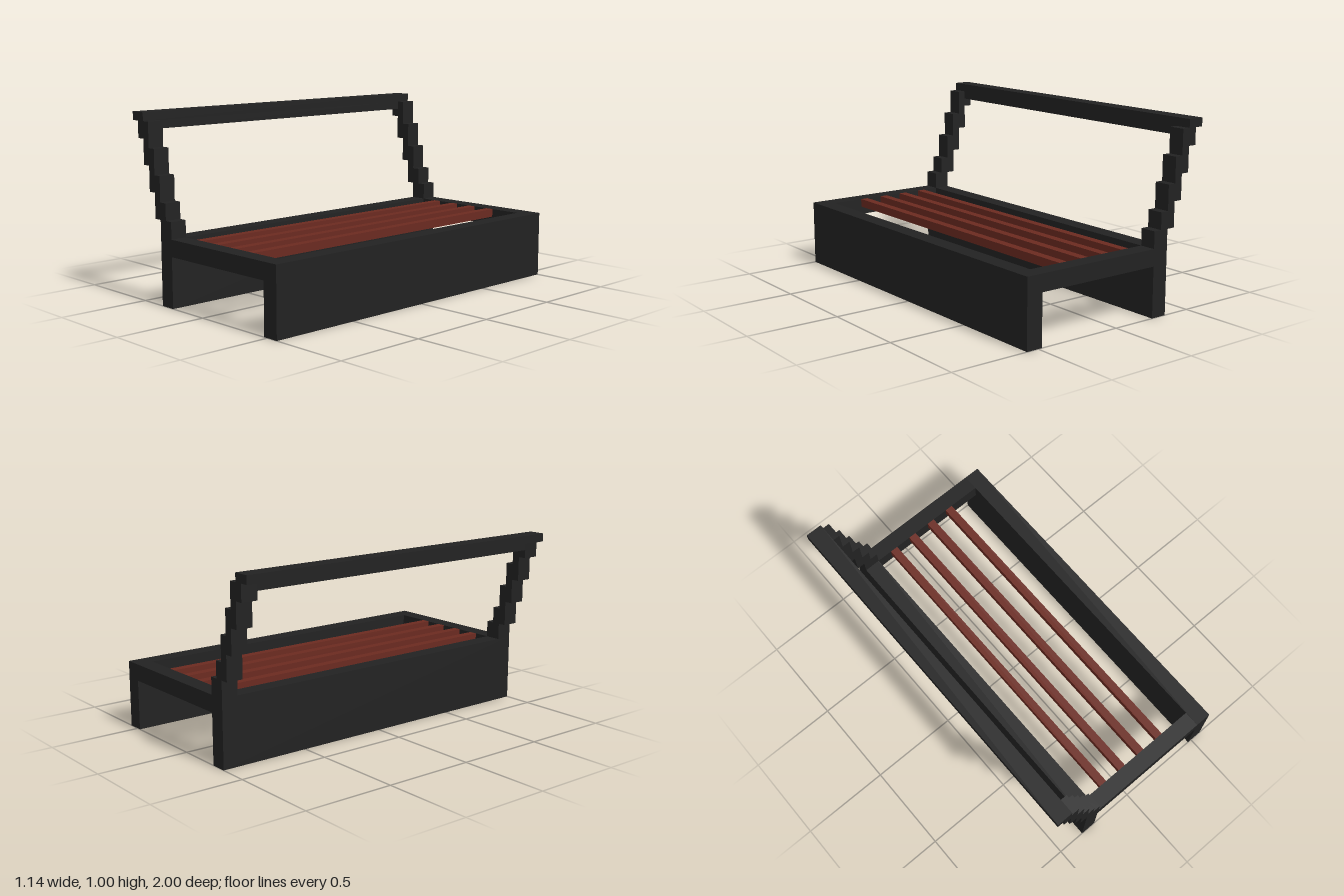
import * as THREE from 'three';

// The bench is built on a grid of small cubes: 25 wide, 22 high, 44 long.
const U = 1 / 22;

export function createModel() {
  const group = new THREE.Group();
  const dark = new THREE.MeshStandardMaterial({ color: 0x222222 });
  dark.name = 'charcoal frame';
  const red = new THREE.MeshStandardMaterial({ color: 0x6b2a20 });
  red.name = 'red brown slat';

  // Box between grid positions
  function block(name, material, x0, x1, y0, y1, z0, z1, parent = group) {
    const mesh = new THREE.Mesh(
      new THREE.BoxGeometry((x1 - x0) * U, (y1 - y0) * U, (z1 - z0) * U), material);
    mesh.position.set(((x0 + x1) / 2 - 12.5) * U, ((y0 + y1) / 2) * U, ((z0 + z1) / 2 - 22) * U);
    mesh.name = name;
    parent.add(mesh);
  }

  // Long boards that carry the seat
  block('rearBoard', dark, 5, 7, 0, 8, 0, 44);
  block('frontBoard', dark, 23, 25, 0, 8, 0, 44);

  // Stepped backrest outline, leaning backwards
  const steps = [
    [7, 8], [7, 10], [6, 10], [6, 12], [5, 12], [5, 15], [4, 15], [4, 18], [3, 18], [3, 21],
    [1, 21], [1, 19], [2, 19], [2, 16], [3, 16], [3, 13], [4, 13], [4, 10], [5, 10], [5, 8],
  ];
  const outline = new THREE.Shape(steps.map(([x, y]) => new THREE.Vector2((x - 12.5) * U, y * U)));

  // End rails and backrest posts, one at each end
  for (const [side, z] of [['right', 0], ['left', 42]]) {
    const end = new THREE.Group();
    end.name = side + 'End';
    group.add(end);
    block('endRail', dark, 7, 23, 6, 8, z, z + 2, end);
    const post = new THREE.Mesh(
      new THREE.ExtrudeGeometry(outline, { depth: 2 * U, bevelEnabled: false }), dark);
    post.position.z = (z - 22) * U;
    post.name = 'backrestPost';
    end.add(post);
  }

  // Top rail of the backrest, with a narrower strip below
  block('topRail', dark, 0, 2, 21, 22, 0, 44);
  block('topRailUnderside', dark, 1, 2, 20, 21, 2, 42);

  // Seat slats
  for (const x of [9, 12, 15, 18]) block('seatSlat', red, x, x + 1, 7, 8, 2, 42);

  return group;
}
